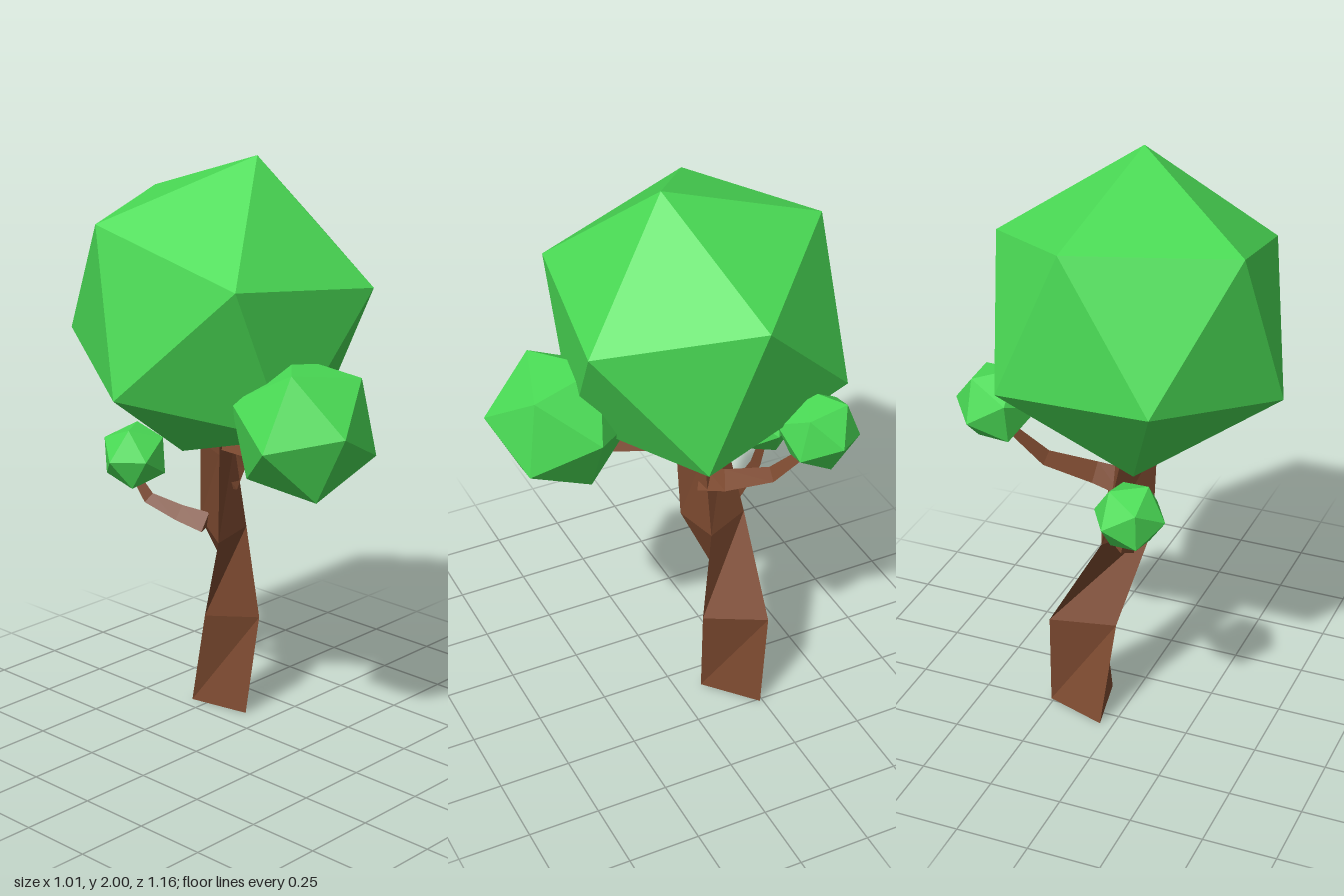
import * as THREE from 'three';

const V = (p) => new THREE.Vector3(...p);

// Closed, flat-faced skin over a stack of three-cornered rings
function loft(rings) {
  const pos = [];
  const tri = (...pts) => pts.forEach((p) => pos.push(p.x, p.y, p.z));
  for (let r = 0; r < rings.length - 1; r++) {
    const a = rings[r], b = rings[r + 1];
    for (let i = 0; i < 3; i++) {
      const j = (i + 1) % 3;
      tri(a[i], a[j], b[j]);
      tri(a[i], b[j], b[i]);
    }
  }
  const first = rings[0], last = rings[rings.length - 1];
  tri(first[2], first[1], first[0]);
  tri(last[0], last[1], last[2]);
  const geo = new THREE.BufferGeometry();
  geo.setAttribute('position', new THREE.Float32BufferAttribute(pos, 3));
  geo.computeVertexNormals();
  return geo;
}

// Tapering three-sided limb along a path
function limb(path, startRadius, endRadius) {
  const pts = path.map(V);
  const rings = pts.map((p, i) => {
    const next = pts[Math.min(i + 1, pts.length - 1)];
    const prev = pts[Math.max(i - 1, 0)];
    const d = next.clone().sub(prev).normalize();
    const u = new THREE.Vector3(0, 1, 0).addScaledVector(d, -d.y).normalize();
    const v = d.clone().cross(u);
    const radius = THREE.MathUtils.lerp(startRadius, endRadius, i / (pts.length - 1));
    return [0, 1, 2].map((k) => {
      const t = (k * Math.PI * 2) / 3;
      return p.clone()
        .addScaledVector(u, Math.cos(t) * radius)
        .addScaledVector(v, Math.sin(t) * radius);
    });
  });
  return loft(rings);
}

// Icosahedron turned so that two neighbouring corners point along a and b
function leafBall(center, radius, a, b) {
  const A = V(a).normalize(), B = V(b).normalize();
  const y = A.clone().add(B).normalize();
  const x = B.clone().sub(A).normalize();
  const z = x.clone().cross(y);
  const geo = new THREE.IcosahedronGeometry(radius, 0);
  geo.applyMatrix4(new THREE.Matrix4().makeBasis(x, y, z).setPosition(...center));
  return geo;
}

export function createModel() {
  const bark = new THREE.MeshStandardMaterial({ color: 0x7d4a30 });
  bark.name = 'bark brown';
  const leaf = new THREE.MeshStandardMaterial({ color: 0x4adb55 });
  leaf.name = 'leaf green';

  const tree = new THREE.Group();
  tree.name = 'tree';
  const add = (name, geo, mat) => {
    const mesh = new THREE.Mesh(geo, mat);
    mesh.name = name;
    tree.add(mesh);
  };

  // Leaning, twisting trunk
  const trunkRings = [
    [[0.09, 0, -0.09], [0.26, 0, -0.24], [0.045, 0, -0.31]],
    [[0.138, 0.355, -0.07], [0.245, 0.355, -0.27], [0.02, 0.355, -0.22]],
    [[0.115, 0.69, -0.11], [0.05, 0.7, -0.268], [-0.057, 0.68, -0.078]],
    [[0.055, 1.0, -0.11], [0.0, 1.0, -0.215], [-0.067, 1.0, -0.062]],
    [[0.03, 1.2, -0.11], [-0.01, 1.2, -0.18], [-0.05, 1.2, -0.08]],
  ];
  add('trunk', loft(trunkRings.map((ring) => ring.map(V))), bark);

  // Branches
  add('leftBranch', limb(
    [[0.02, 0.87, -0.13], [0.12, 0.91, -0.17], [0.25, 0.99, -0.27], [0.34, 1.12, -0.34]], 0.055, 0.018), bark);
  add('backBranch', limb(
    [[0.0, 0.71, -0.19], [-0.04, 0.735, -0.28], [-0.09, 0.78, -0.38], [-0.115, 0.87, -0.43]], 0.042, 0.015), bark);
  add('frontBranch', limb(
    [[0.0, 1.03, -0.11], [-0.04, 1.04, 0.05], [-0.07, 1.05, 0.18], [-0.1, 1.12, 0.3]], 0.045, 0.025), bark);

  // Foliage
  add('crown', leafBall([-0.02, 1.487, -0.108], 0.535, [0.035, 0.513, 0.138], [0.49, 0.215, -0.01]), leaf);
  add('frontFoliage', leafBall([-0.1, 1.183, 0.342], 0.247, [-0.07, 0.027, 0.235], [-0.24, -0.023, 0.045]), leaf);
  add('leftFoliage', leafBall([0.367, 1.217, -0.36], 0.139, [0.138, 0, -0.015], [0.053, 0.113, -0.075]), leaf);
  add('backFoliage', leafBall([-0.115, 0.933, -0.42], 0.121, [0.12, 0.002, -0.003], [0.054, 0.1, -0.04]), leaf);

  return tree;
}
